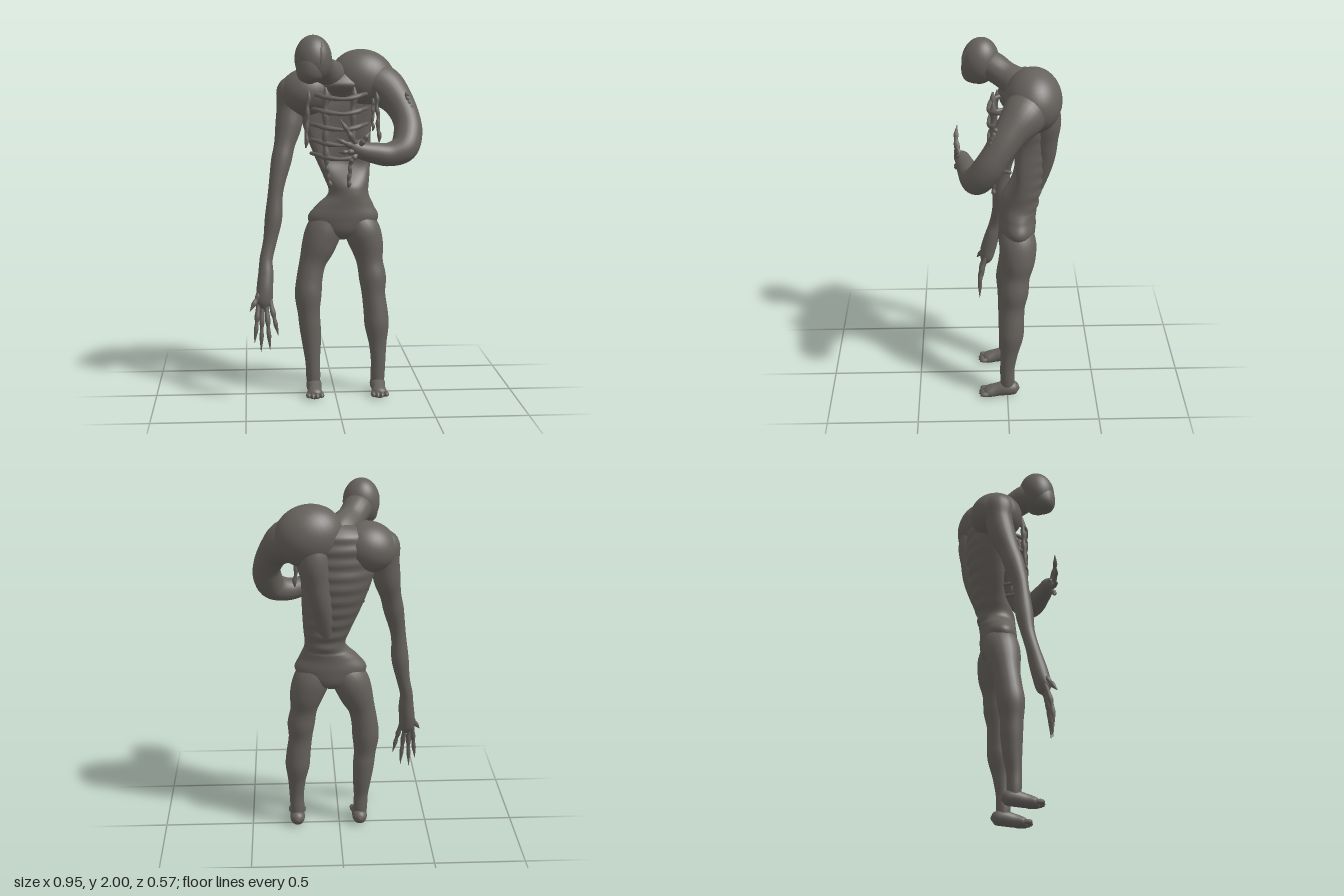
import * as THREE from 'three';

const V = (a) => new THREE.Vector3(a[0], a[1], a[2]);

// Smooth closed skin lofted along points [x, y, z, r1, r2]; flat keeps every ring horizontal
function loft(pts, { sides = 20, steps = 6, flat = false, rule = null } = {}) {
  const path = new THREE.CatmullRomCurve3(pts.map(V), false, 'catmullrom', 0.5);
  const size = new THREE.CatmullRomCurve3(pts.map((p) => new THREE.Vector3(p[3], p[4] ?? p[3], 0)), false, 'catmullrom', 0.5);
  const n = (pts.length - 1) * steps;
  const pos = [], idx = [];
  const q = new THREE.Quaternion();
  const last = new THREE.Vector3(0, 1, 0);
  for (let i = 0; i <= n; i++) {
    const c = path.getPoint(i / n), s = size.getPoint(i / n);
    if (!flat) {
      const t = path.getTangent(i / n);
      q.premultiply(new THREE.Quaternion().setFromUnitVectors(last, t));
      last.copy(t);
    }
    for (let j = 0; j < sides; j++) {
      const a = (j / sides) * Math.PI * 2;
      const v = new THREE.Vector3(Math.cos(a) * Math.max(s.x, 0.001), 0, -Math.sin(a) * Math.max(s.y, 0.001));
      v.applyQuaternion(q).add(c);
      if (rule) rule(v, a);
      pos.push(v.x, v.y, v.z);
    }
  }
  for (let i = 0; i < n; i++) {
    for (let j = 0; j < sides; j++) {
      const k = (j + 1) % sides;
      const a = i * sides + j, b = i * sides + k, c = a + sides, d = b + sides;
      idx.push(a, b, c, b, d, c);
    }
  }
  // end caps
  const top = n * sides, base = pos.length / 3;
  pos.push(...pts[0].slice(0, 3), ...pts[pts.length - 1].slice(0, 3));
  for (let j = 0; j < sides; j++) {
    const k = (j + 1) % sides;
    idx.push(base, k, j, base + 1, top + j, top + k);
  }
  const g = new THREE.BufferGeometry();
  g.setAttribute('position', new THREE.Float32BufferAttribute(pos, 3));
  g.setIndex(idx);
  g.computeVertexNormals();
  return g;
}

export function createModel() {
  const root = new THREE.Group();
  const skin = new THREE.MeshStandardMaterial({ color: 0x65615d });
  skin.name = 'ashen skin';
  const add = (name, geo, parent = root) => {
    const m = new THREE.Mesh(geo, skin);
    m.name = name;
    parent.add(m);
    return m;
  };
  const blob = (name, p, s, rz = 0) => {
    const m = add(name, new THREE.SphereGeometry(1, 32, 24));
    m.position.set(...p);
    m.scale.set(...s);
    m.rotation.z = rz;
    return m;
  };
  const group = (name) => {
    const g = new THREE.Group();
    g.name = name;
    root.add(g);
    return g;
  };

  // torso with a hollowed chest and faint rib ripples on the back
  const hollow = (v, a) => {
    const h = THREE.MathUtils.smoothstep(v.y, 1.16, 1.32) * (1 - THREE.MathUtils.smoothstep(v.y, 1.64, 1.74));
    const front = Math.max(0, -Math.sin(a));
    v.z -= 0.1 * h * front * front;
    if (v.y > 1.1) v.z -= 0.004 * Math.max(0, Math.sin(a)) * Math.sin(v.y * 90);
  };
  add('torso', loft([
    [0.045, 0.87, -0.06, 0.03, 0.03], [0.045, 0.91, -0.06, 0.14, 0.085], [0.05, 0.99, -0.06, 0.197, 0.1],
    [0.06, 1.06, -0.06, 0.16, 0.1], [0.08, 1.13, -0.065, 0.112, 0.105], [0.07, 1.22, -0.08, 0.128, 0.11],
    [0.045, 1.35, -0.09, 0.16, 0.13], [0.02, 1.5, -0.1, 0.19, 0.145], [0.02, 1.62, -0.1, 0.22, 0.145],
    [0.02, 1.72, -0.11, 0.21, 0.135], [0.03, 1.79, -0.12, 0.15, 0.1], [0.03, 1.83, -0.12, 0.03, 0.03],
  ], { sides: 48, steps: 10, flat: true, rule: hollow }));
  add('backRidge', loft([
    [0.13, 1.82, -0.15, 0.06], [0.14, 1.66, -0.2, 0.08], [0.12, 1.52, -0.2, 0.07], [0.1, 1.4, -0.195, 0.06],
    [0.08, 1.26, -0.16, 0.05], [0.07, 1.12, -0.12, 0.03],
  ]));

  // shoulders, neck and head
  blob('leftShoulder', [0.165, 1.755, -0.135], [0.185, 0.165, 0.15], -0.3);
  blob('rightShoulder', [-0.15, 1.685, -0.105], [0.155, 0.135, 0.145], 0.3);
  add('neck', loft([
    [0.04, 1.72, -0.15, 0.09], [-0.01, 1.77, -0.08, 0.09], [-0.06, 1.81, 0, 0.075], [-0.1, 1.85, 0.07, 0.078],
    [-0.125, 1.87, 0.13, 0.07],
  ]));
  blob('head', [-0.125, 1.873, 0.135], [0.1, 0.127, 0.1]).rotation.x = -0.12;
  add('jaw', loft([
    [-0.13, 1.9, 0.15, 0.07], [-0.14, 1.83, 0.16, 0.077], [-0.145, 1.77, 0.165, 0.062], [-0.145, 1.74, 0.165, 0.01],
  ]));
  add('faceSeam', loft([
    [-0.085, 1.96, 0.19, 0.003], [-0.085, 1.92, 0.217, 0.006], [-0.09, 1.86, 0.225, 0.006], [-0.1, 1.79, 0.215, 0.003],
  ], { sides: 6 }));

  // arms
  add('leftArm', loft([
    [0.19, 1.75, -0.13, 0.12], [0.28, 1.71, -0.08, 0.115], [0.345, 1.64, -0.01, 0.088], [0.385, 1.55, 0.055, 0.076],
    [0.39, 1.47, 0.105, 0.078], [0.36, 1.395, 0.155, 0.076], [0.28, 1.365, 0.185, 0.064], [0.2, 1.375, 0.205, 0.057],
    [0.13, 1.39, 0.225, 0.047], [0.08, 1.41, 0.24, 0.036], [0.05, 1.42, 0.245, 0.008],
  ], { sides: 28 }));
  add('rightArm', loft([
    [-0.2, 1.75, -0.11, 0.06], [-0.225, 1.69, -0.105, 0.09], [-0.24, 1.6, -0.1, 0.076], [-0.252, 1.5, -0.08, 0.073],
    [-0.275, 1.4, -0.05, 0.058], [-0.295, 1.31, -0.025, 0.056], [-0.318, 1.2, 0, 0.045], [-0.33, 1.12, 0.01, 0.042],
    [-0.34, 1.0, 0.02, 0.048], [-0.36, 0.88, 0.035, 0.038], [-0.382, 0.78, 0.055, 0.036], [-0.385, 0.7, 0.075, 0.042],
    [-0.392, 0.62, 0.095, 0.045], [-0.395, 0.55, 0.11, 0.045, 0.035], [-0.395, 0.51, 0.12, 0.012],
  ], { sides: 24 }));

  // knuckled fingers
  const finger = (name, a, b, r, bend, parent) => {
    const at = (t, k) => {
      const p = V(a).lerp(V(b), t);
      p.z += bend * Math.sin(t * Math.PI);
      return [p.x, p.y, p.z, r * k];
    };
    add(name, loft([at(0, 1.1), at(0.2, 0.95), at(0.38, 1.15), at(0.52, 0.75), at(0.68, 0.95), at(0.82, 0.6), at(1, 0.1)],
      { sides: 10, steps: 4 }), parent);
  };
  const rightHand = group('rightHand');
  [[-0.425, 0.56, -0.45, 0.33], [-0.405, 0.55, -0.415, 0.28], [-0.385, 0.55, -0.365, 0.29], [-0.365, 0.57, -0.32, 0.37]]
    .forEach(([x, y, u, w], i) => finger('rightFinger' + (i + 1), [x, y, 0.11], [u, w, 0.15], 0.013, 0.012, rightHand));
  finger('rightThumb', [-0.4, 0.63, 0.1], [-0.475, 0.51, 0.165], 0.015, 0, rightHand);
  const leftHand = group('leftHand');
  [[0.01, 1.56], [-0.02, 1.46], [0, 1.385], [0.055, 1.325]]
    .forEach(([u, w], i) => finger('leftFinger' + (i + 1), [0.1, 1.42 - i * 0.015, 0.25], [u, w, 0.262], 0.014, 0.012, leftHand));
  finger('leftThumb', [0.11, 1.41, 0.25], [0.165, 1.49, 0.262], 0.014, 0.01, leftHand);

  // legs with swollen bands
  add('leftLeg', loft([
    [0.11, 1.0, -0.06, 0.08], [0.155, 0.92, -0.06, 0.1], [0.185, 0.83, -0.06, 0.092], [0.2, 0.74, -0.05, 0.074],
    [0.215, 0.65, -0.04, 0.076], [0.22, 0.56, -0.03, 0.066], [0.232, 0.46, -0.025, 0.068], [0.238, 0.38, -0.02, 0.068],
    [0.243, 0.28, -0.01, 0.05], [0.245, 0.18, 0, 0.041], [0.242, 0.1, 0, 0.04], [0.242, 0.04, 0, 0.035],
  ], { sides: 24 }));
  add('rightLeg', loft([
    [0, 1.0, -0.06, 0.08], [-0.055, 0.92, -0.06, 0.1], [-0.09, 0.83, -0.05, 0.094], [-0.122, 0.74, -0.04, 0.075],
    [-0.14, 0.65, -0.03, 0.073], [-0.148, 0.56, -0.02, 0.075], [-0.145, 0.46, -0.015, 0.062], [-0.138, 0.38, -0.015, 0.06],
    [-0.13, 0.28, -0.01, 0.052], [-0.125, 0.18, 0, 0.041], [-0.122, 0.1, 0, 0.04], [-0.12, 0.04, 0, 0.035],
  ], { sides: 24 }));

  // feet and toes resting on the ground
  const ground = (v) => { v.y = Math.max(v.y, 0); };
  for (const [side, x] of [['left', 0.242], ['right', -0.118]]) {
    const foot = group(side + 'Foot');
    add('sole', loft([
      [x, 0.04, -0.067, 0.008], [x, 0.043, -0.045, 0.036], [x, 0.045, 0, 0.043], [x, 0.034, 0.06, 0.038],
      [x, 0.022, 0.11, 0.043, 0.032], [x, 0.018, 0.135, 0.02],
    ], { rule: ground }), foot);
    for (let i = 0; i < 4; i++) {
      const u = x + (i - 1.5) * 0.024, z = 0.165 - Math.abs(i - 1.5) * 0.008;
      add('toe' + (i + 1), loft([[u, 0.022, 0.11, 0.013], [u, 0.022, 0.14, 0.014], [u, 0.014, z, 0.003]],
        { sides: 10, rule: ground }), foot);
    }
  }

  // exposed rib cage: knobbly uprights, rungs and hanging strands
  const cage = group('ribCage');
  const strand = (name, a, b, r) => {
    const pts = [];
    for (let i = 0; i <= 8; i++) {
      const p = V(a).lerp(V(b), i / 8);
      pts.push([p.x + 0.003 * Math.sin(i * 2), p.y, p.z, r * (i % 8 === 0 ? 0.3 : i % 2 ? 1.15 : 0.8)]);
    }
    add(name, loft(pts, { sides: 10, steps: 4 }), cage);
  };
  strand('upright1', [-0.055, 1.72, 0.07], [-0.055, 1.3, 0.075], 0.017);
  strand('upright2', [0.1, 1.72, 0.07], [0.085, 1.3, 0.075], 0.017);
  strand('drip1', [-0.055, 1.34, 0.075], [-0.03, 1.17, 0.07], 0.011);
  strand('drip2', [0.085, 1.34, 0.075], [0.068, 1.17, 0.07], 0.011);
  [1.665, 1.585, 1.5, 1.415, 1.34].forEach((y, i) => {
    const c = i < 3 ? 0.035 : 0.02;
    add('rung' + (i + 1), loft([
      [-0.13, y + 0.015, -0.02, 0.01], [-0.09, y + 0.01, 0.055, 0.012], [-0.05, y, 0.08, 0.015], [c, y - 0.008, 0.095, 0.01],
      [0.1, y, 0.08, 0.015], [0.145, y + 0.012, 0.05, 0.012], [0.18, y + 0.015, -0.02, 0.01],
    ], { sides: 10 }), cage);
  });
  strand('rightStrand', [-0.145, 1.7, 0.045], [-0.162, 1.39, 0.06], 0.011);
  strand('leftStrand1', [0.225, 1.69, 0.03], [0.24, 1.42, 0.045], 0.011);
  strand('leftStrand2', [0.205, 1.66, 0.03], [0.205, 1.48, 0.04], 0.008);
  strand('leftArmSpine', [0.38, 1.69, 0.06], [0.41, 1.6, 0.09], 0.012);
  strand('rightArmSpine', [-0.21, 1.7, 0.01], [-0.215, 1.62, -0.02], 0.012);

  return root;
}
